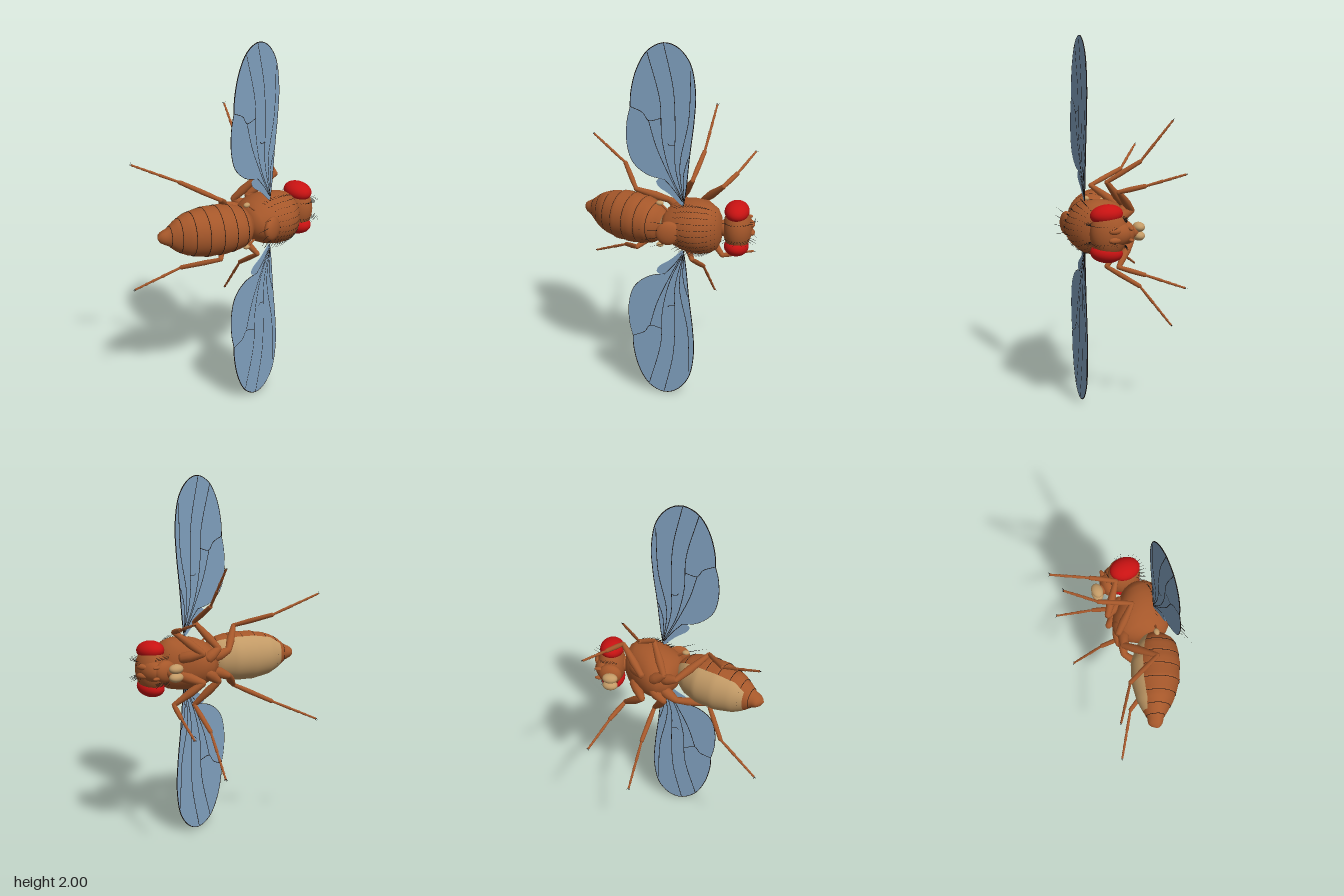
import * as THREE from 'three';
import { mergeGeometries } from 'three/addons/utils/BufferGeometryUtils.js';

const V = (x, y, z) => new THREE.Vector3(x, y, z);
const mat = (color, side = THREE.FrontSide) => new THREE.MeshStandardMaterial({ color, side });
const brown = mat(0xa5572a), tan = mat(0xc29a66, THREE.DoubleSide), red = mat(0xc81212);
const blue = mat(0x7f9fbd, THREE.DoubleSide), black = mat(0x17110e);
const UP = V(0, 1, 0);

function add(parent, name, geo, material) {
  const m = new THREE.Mesh(geo, material);
  m.name = name;
  parent.add(m);
  return m;
}

// Skin over rows of points; closed joins the last point of each row to the first
function loft(rows, closed = true) {
  const n = rows[0].length, idx = [];
  for (let i = 0; i < rows.length - 1; i++)
    for (let j = 0; j < (closed ? n : n - 1); j++) {
      const k = (j + 1) % n, a = i * n + j, b = i * n + k, c = a + n, d = b + n;
      idx.push(a, b, c, b, d, c);
    }
  const g = new THREE.BufferGeometry().setFromPoints(rows.flat());
  g.setIndex(idx);
  g.computeVertexNormals();
  return g;
}

// Piecewise-linear lookup in a table whose first column ascends
function look(table, t) {
  let i = 0;
  while (i < table.length - 2 && t > table[i + 1][0]) i++;
  const [a, b] = [table[i], table[i + 1]];
  const f = THREE.MathUtils.clamp((t - a[0]) / (b[0] - a[0]), 0, 1);
  return a.map((v, k) => v + (b[k] - v) * f);
}

function ellipsoid(parent, name, p, r, material, rotY = 0) {
  const m = add(parent, name, new THREE.SphereGeometry(1, 32, 20), material);
  m.position.set(...p);
  m.scale.set(...r);
  m.rotation.y = rotY;
  return m;
}

function between(geo, a, b) {
  const q = new THREE.Quaternion().setFromUnitVectors(UP, b.clone().sub(a).normalize());
  return geo.applyQuaternion(q).translate(a.x, a.y, a.z);
}

// Rounded leg piece with start, middle and end radius
function limb(a, b, r0, rm, r1) {
  const L = a.distanceTo(b);
  const prof = [[0, -r0 * 0.8], [r0 * 0.75, -r0 * 0.5], [r0, 0], [rm, L * 0.4], [r1, L], [r1 * 0.7, L + r1 * 0.6], [0, L + r1 * 0.8]];
  return between(new THREE.LatheGeometry(prof.map(p => new THREE.Vector2(...p)), 12), a, b);
}

function hair(a, dir, len, r = 0.0017) {
  const g = new THREE.ConeGeometry(r, len, 4).translate(0, len / 2, 0);
  return between(g, a, a.clone().addScaledVector(dir.clone().normalize(), len));
}

// Abdomen: s along the axis from the waist, dorsal, ventral and side radius
const ABD = [[0, 0.06, 0.045, 0.06], [0.03, 0.105, 0.07, 0.095], [0.07, 0.127, 0.096, 0.118], [0.16, 0.138, 0.127, 0.135],
  [0.27, 0.13, 0.127, 0.135], [0.37, 0.097, 0.104, 0.115], [0.43, 0.062, 0.076, 0.085], [0.47, 0.036, 0.055, 0.05],
  [0.505, 0.026, 0.05, 0.032], [0.522, 0.012, 0.03, 0.02], [0.53, 0.001, 0.001, 0.001]];
const SEAMS = [0.055, 0.125, 0.2, 0.275, 0.345, 0.41, 0.46];
function abdPoint(s, ang, grow = 1) {
  const [, d, v, w] = look(ABD, s), n = Math.sin(ang);
  const h = n * (n > 0 ? d : v) * grow;
  return V(-0.926 * s - 0.378 * h, Math.cos(ang) * w * grow, 0.11 - 0.378 * s + 0.926 * h);
}
function abdRow(s, a0, a1, n, grow) {
  return Array.from({ length: n }, (_, j) => abdPoint(s, a0 + (a1 - a0) * j / n, grow));
}

function buildAbdomen(root) {
  const g = new THREE.Group();
  g.name = 'abdomen';
  root.add(g);
  // Overlapping plates: each widens to its rear edge, then steps in
  const stops = [0, ...SEAMS, 0.53], rows = [], rings = [];
  for (let i = 0; i < stops.length - 1; i++)
    for (let k = 0; k <= 6; k++) {
      const s = stops[i] + (stops[i + 1] - stops[i]) * k / 6;
      rows.unshift(abdRow(s + (k ? 0 : 0.0015), 0, Math.PI * 2, 48, 0.985 + 0.03 * k / 6));
    }
  add(g, 'abdomenPlates', loft(rows), brown);
  for (const s of SEAMS) {
    const curve = new THREE.CatmullRomCurve3(abdRow(s + 0.002, 0, Math.PI * 2, 32, 1.004), true);
    rings.push(new THREE.TubeGeometry(curve, 48, 0.0016, 4, true));
  }
  add(g, 'plateSeams', mergeGeometries(rings), black);
  // Pale belly
  const belly = [], lo = Math.PI + 0.42, hi = Math.PI * 2 - 0.42;
  for (let i = 0; i <= 30; i++) {
    const s = 0.435 - 0.42 * i / 30;
    const shrink = 0.25 * Math.max(0, (s - 0.38) / 0.055);
    belly.push(abdRow(s, lo + shrink, hi - shrink, 25, 1.022));
  }
  add(g, 'belly', loft(belly, false), tan);
}

// Thorax: x, top z, bottom z, half width
const THX = [[-0.018, 0.13, 0.12, 0.005], [-0.012, 0.18, 0.07, 0.05], [0.01, 0.205, 0, 0.085], [0.05, 0.235, -0.06, 0.112], [0.1, 0.262, -0.078, 0.135],
  [0.15, 0.278, -0.07, 0.145], [0.2, 0.275, -0.04, 0.145], [0.25, 0.25, 0.01, 0.135], [0.285, 0.215, 0.045, 0.112], [0.305, 0.175, 0.08, 0.07], [0.312, 0.13, 0.12, 0.005]];
function thxPoint(x, ang) {
  const [, t, b, w] = look(THX, x);
  return V(x, Math.cos(ang) * w, (t + b) / 2 + Math.sin(ang) * (t - b) / 2);
}

function buildThorax(root) {
  const g = new THREE.Group();
  g.name = 'thorax';
  root.add(g);
  const rows = THX.map(([x]) => Array.from({ length: 40 }, (_, j) => thxPoint(x, j * Math.PI / 20)));
  add(g, 'thoraxBody', loft(rows), brown);
  ellipsoid(g, 'scutellum', [0.035, 0, 0.24], [0.066, 0.066, 0.03], brown, 0.2);
  ellipsoid(g, 'neck', [0.32, 0, 0.115], [0.04, 0.045, 0.04], brown);
  // Rows of short hairs, longer ones on the flanks and scutellum
  const hairs = [];
  for (let i = 0; i < 13; i++)
    for (let j = 0; j < 11; j++) {
      const ang = Math.PI * (0.14 + 0.072 * j), x = 0.07 + 0.0175 * i;
      const edge = j === 0 || j === 10;
      hairs.push(hair(thxPoint(x, ang), V(-1, Math.cos(ang) * 0.55, Math.sin(ang) * 0.55), edge ? 0.045 : 0.022));
    }
  for (const s of [-1, 1]) {
    hairs.push(hair(V(-0.015, 0.02 * s, 0.26), V(-1, 0.1 * s, 0.3), 0.11, 0.002));
    hairs.push(hair(V(0.02, 0.055 * s, 0.25), V(-1, 0.2 * s, 0.3), 0.1, 0.002));
  }
  add(g, 'thoraxHairs', mergeGeometries(hairs), black);
}

function buildHead(root) {
  const g = new THREE.Group();
  g.name = 'head';
  root.add(g);
  ellipsoid(g, 'skull', [0.388, 0, 0.105], [0.078, 0.125, 0.098], brown);
  ellipsoid(g, 'face', [0.41, 0, 0.075], [0.06, 0.065, 0.085], brown);
  ellipsoid(g, 'mouth', [0.375, 0, 0.005], [0.065, 0.06, 0.04], brown);
  ellipsoid(g, 'proboscis', [0.365, 0, -0.03], [0.03, 0.032, 0.035], brown);
  const hairs = [];
  for (const s of [-1, 1]) {
    ellipsoid(g, 'eye', [0.385, 0.1 * s, 0.115], [0.066, 0.052, 0.086], red).rotation.x = 0.1 * s;
    ellipsoid(g, 'labellum', [0.36, 0.023 * s, -0.065], [0.042, 0.026, 0.032], tan);
    ellipsoid(g, 'antenna', [0.462, 0.024 * s, 0.09], [0.018, 0.017, 0.035], brown, 0.25);
    ellipsoid(g, 'palp', [0.435, 0.03 * s, 0.0], [0.026, 0.01, 0.012], brown);
    for (let i = 0; i < 5; i++)
      hairs.push(hair(V(0.47, 0.024 * s, 0.1), V(0.5, s * (0.3 + 0.2 * i), 0.8 - 0.4 * i), 0.04, 0.0014));
    // Crown and cheek bristles
    for (let i = 0; i < 12; i++) {
      const a = 0.25 + i * 0.2, d = V(Math.cos(a), 0.25 * s, Math.sin(a));
      hairs.push(hair(V(0.388 + 0.07 * d.x, 0.045 * s, 0.105 + 0.088 * d.z), d, 0.05));
      hairs.push(hair(V(0.34 + 0.008 * i, 0.06 * s, 0.02), V(0.1, s, -0.4), 0.03));
    }
  }
  add(g, 'headBristles', mergeGeometries(hairs), black);
}

// Wing outline beyond the notch at the root, and vein paths
const FRONT_EDGE = [[0.105, 0.13], [0.118, 0.22], [0.135, 0.4], [0.158, 0.6], [0.164, 0.75], [0.135, 0.9], [0.07, 0.98], [0, 1], [-0.08, 0.96], [-0.14, 0.86], [-0.172, 0.73], [-0.175, 0.66]];
const REAR_EDGE = [[-0.175, 0.66], [-0.193, 0.58], [-0.195, 0.46], [-0.165, 0.36], [-0.09, 0.295], [0.005, 0.27]];
const ALULA = [[0.005, 0.285], [-0.04, 0.262], [-0.03, 0.232], [0.03, 0.19], [0.095, 0.13]];
const VEINS = [
  [[-0.085, 0.95], [-0.02, 0.7], [-0.01, 0.5], [0.03, 0.32], [0.105, 0.15]],
  [[0, 0.995], [0.05, 0.76], [0.06, 0.55], [0.06, 0.35], [0.105, 0.15]],
  [[0.14, 0.86], [0.13, 0.6], [0.085, 0.35], [0.105, 0.15]],
  [[0.13, 0.4], [0.105, 0.3], [0.108, 0.15]],
  [[-0.175, 0.66], [-0.11, 0.63], [-0.08, 0.59], [-0.012, 0.605]],
  [[-0.08, 0.59], [-0.04, 0.45], [0.03, 0.29], [0.1, 0.15]],
  [[0.02, 0.47], [0.03, 0.46], [0.06, 0.46]],
  [[0.0, 0.275], [0.05, 0.22], [0.1, 0.15]]];

function buildWing(root, s) {
  const g = new THREE.Group();
  g.name = s > 0 ? 'upperWing' : 'lowerWing';
  root.add(g);
  const smooth = pts => new THREE.CatmullRomCurve3(pts.map(([x, y]) => V(x, y * s, 0.16)));
  const outline = [FRONT_EDGE, REAR_EDGE, ALULA].flatMap((e, i) => smooth(e).getPoints([50, 24, 14][i]).slice(i === 1 ? 1 : 0));
  const shape = new THREE.Shape(outline.map(p => new THREE.Vector2(p.x, p.y)));
  add(g, 'wingBlade', new THREE.ExtrudeGeometry(shape, { depth: 0.003, bevelEnabled: false }).translate(0, 0, 0.1585), blue);
  const tubes = VEINS.map(v => new THREE.TubeGeometry(smooth(v), 30, 0.0026, 5));
  tubes.push(new THREE.TubeGeometry(smooth(FRONT_EDGE), 60, 0.0028, 5), new THREE.TubeGeometry(smooth(REAR_EDGE), 30, 0.002, 5));
  add(g, 'wingVeins', mergeGeometries(tubes), black);
}

// Legs: hip, trochanter, knee, ankle, toe
const LEGS = {
  hindLeg: [[0.06, 0.04, -0.04], [-0.01, 0.07, -0.072], [-0.17, 0.17, 0.055], [-0.27, 0.245, -0.15], [-0.48, 0.357, -0.297]],
  middleLeg: [[0.12, 0.04, -0.05], [0.06, 0.09, -0.07], [0.135, 0.23, 0.045], [0.175, 0.34, -0.13], [0.22, 0.56, -0.297]],
  frontLeg: [[0.24, 0.05, 0.02], [0.18, 0.08, -0.08], [0.3, 0.2, 0.025], [0.36, 0.235, -0.1], [0.44, 0.3, -0.297]] };

function buildLeg(root, name, pts, s) {
  const g = new THREE.Group();
  g.name = name;
  root.add(g);
  const [hip, tro, knee, ankle, toe] = pts.map(([x, y, z]) => V(x, y * s, z));
  add(g, 'coxa', limb(hip, tro, 0.03, 0.03, 0.018), brown);
  add(g, 'femur', limb(tro, knee, 0.017, 0.023, 0.013), brown);
  add(g, 'tibia', limb(knee, ankle, 0.011, 0.014, 0.012), brown);
  // Five-part foot, longest part first
  const cuts = [0, 0.42, 0.62, 0.77, 0.88, 0.98], foot = [];
  for (let i = 0; i < 5; i++) {
    const r = 0.0085 - i * 0.0006;
    foot.push(limb(ankle.clone().lerp(toe, cuts[i]), ankle.clone().lerp(toe, cuts[i + 1]), r * 0.75, r * 0.85, r));
  }
  add(g, 'foot', mergeGeometries(foot), brown);
  const dir = toe.clone().sub(ankle).normalize();
  const claws = [-1, 0, 1].map(k => hair(toe.clone().addScaledVector(dir, -0.008), dir.clone().add(V(0.6 * k, 0, 0.3 * k)), 0.02, 0.003));
  add(g, 'claws', mergeGeometries(claws), black);
}

export function createModel() {
  const root = new THREE.Group();
  root.name = 'fly';
  root.position.y = 1;
  buildAbdomen(root);
  buildThorax(root);
  buildHead(root);
  for (const s of [-1, 1]) {
    buildWing(root, s);
    for (const [name, pts] of Object.entries(LEGS)) buildLeg(root, name, pts, s);
    add(root, 'halterStalk', limb(V(0.02, 0.08 * s, 0.13), V(-0.02, 0.115 * s, 0.12), 0.007, 0.006, 0.006), brown);
    ellipsoid(root, 'halterKnob', [-0.03, 0.12 * s, 0.115], [0.02, 0.013, 0.015], tan);
  }
  return root;
}
